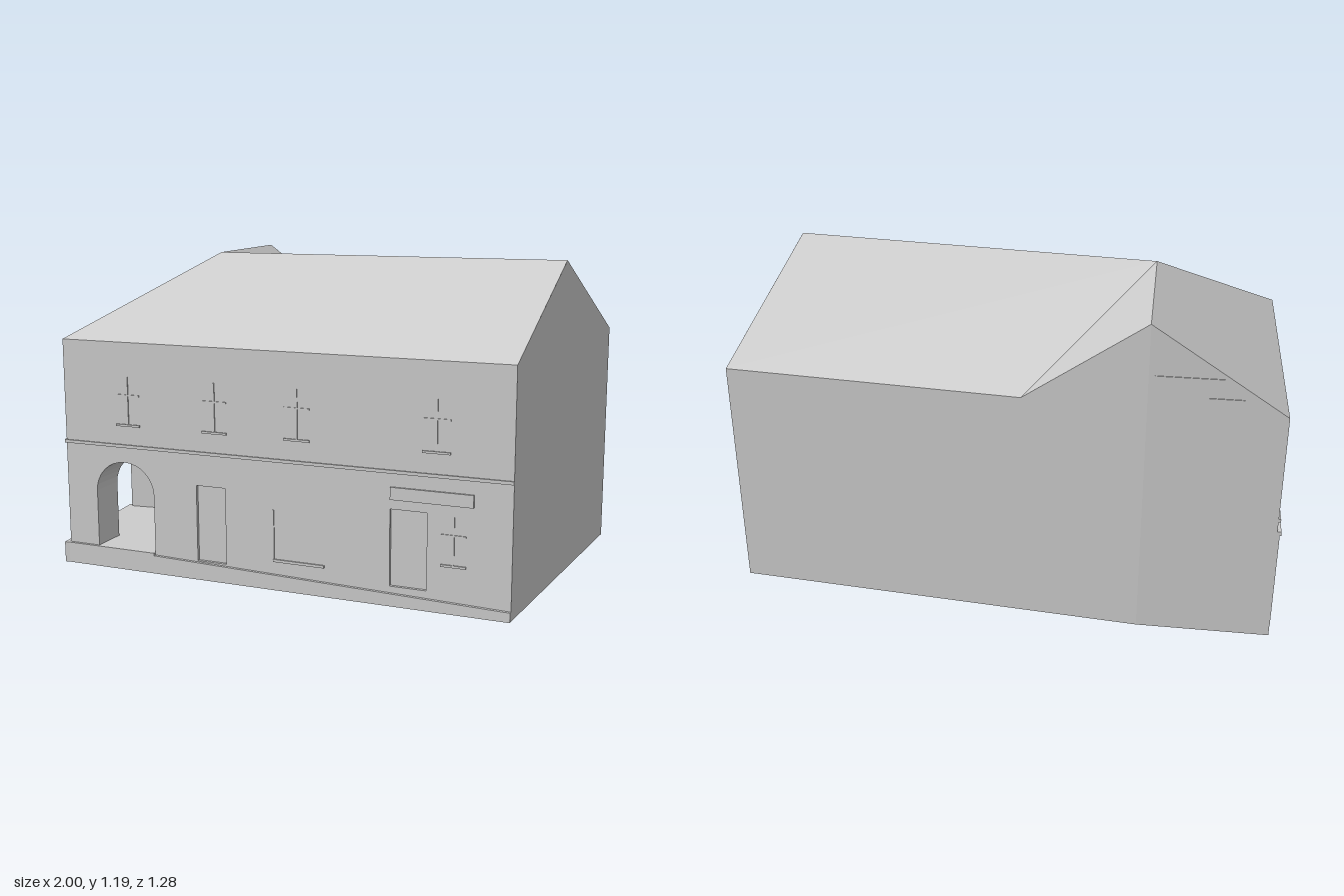
import * as THREE from 'three';

const EAVE = 0.88, RIDGE = 1.19, FLOOR = 0.08, SPRING = 0.3;

// Ground corners as [x, z]
const A = [-0.98, 0.43], B = [0.775, 0.625], C = [1, -0.51], E = [-0.51, -0.64], F = [-0.98, -0.64];

export function createModel() {
  const model = new THREE.Group();
  model.name = 'cornerHouse';
  const plaster = new THREE.MeshStandardMaterial({ color: 0xcccccc, side: THREE.DoubleSide });
  plaster.name = 'plaster';

  function add(parent, geometry, name) {
    const mesh = new THREE.Mesh(geometry, plaster);
    mesh.name = name;
    parent.add(mesh);
    return mesh;
  }
  const shapeOf = (pts) => new THREE.Shape(pts.map(([x, y]) => new THREE.Vector2(x, y)));
  const rect = (x0, y0, x1, y1) => [[x0, y0], [x1, y0], [x1, y1], [x0, y1]];
  const lengthOf = (p, q) => Math.hypot(q[0] - p[0], q[1] - p[1]);

  // Round-headed opening
  function arch(x0, x1, rise) {
    const pts = [[x0, FLOOR], [x1, FLOOR]];
    for (let i = 0; i <= 16; i++) {
      const a = (i / 16) * Math.PI;
      pts.push([(x0 + x1) / 2 + ((x1 - x0) / 2) * Math.cos(a), SPRING + rise * Math.sin(a)]);
    }
    return pts;
  }
  // Side of the house: local x runs from p to q, local z points outward
  function side(name, p, q) {
    const group = new THREE.Group();
    group.name = name;
    group.position.set(p[0], 0, p[1]);
    group.rotation.y = Math.atan2(p[1] - q[1], q[0] - p[0]);
    model.add(group);
    return group;
  }
  // Plate with holes, from local z0 to z1
  function plate(parent, name, pts, z0, z1, holes = []) {
    const shape = shapeOf(pts);
    shape.holes = holes.map(shapeOf);
    const geo = z1 > z0
      ? new THREE.ExtrudeGeometry(shape, { depth: z1 - z0, bevelEnabled: false })
      : new THREE.ShapeGeometry(shape);
    return add(parent, geo.translate(0, 0, z0), name);
  }
  // Horizontal slab from ground points
  function slab(name, pts, y0, y1) {
    const geo = new THREE.ExtrudeGeometry(shapeOf(pts.map(([x, z]) => [x, -z])), { depth: y1 - y0, bevelEnabled: false });
    add(model, geo.rotateX(-Math.PI / 2).translate(0, y0, 0), name);
  }
  // Flat polygon in space, fanned from its first corner
  function face(name, pts) {
    const geo = new THREE.BufferGeometry();
    const tri = [];
    for (let i = 1; i < pts.length - 1; i++) tri.push(...pts[0], ...pts[i], ...pts[i + 1]);
    geo.setAttribute('position', new THREE.Float32BufferAttribute(tri, 3));
    geo.computeVertexNormals();
    add(model, geo, name);
  }
  // Window bars: mullion, transom and sill
  function windowBars(parent, x, y0, y1, half = 0.05) {
    const t = 0.003, mid = y0 + (y1 - y0) * 0.62;
    plate(parent, 'mullion', rect(x - t, y0, x + t, y1), 0, 0.004);
    plate(parent, 'transom', rect(x - half, mid - t, x + half, mid + t), 0, 0.004);
    plate(parent, 'sill', rect(x - half, y0 - 0.004, x + half, y0 + 0.004), 0, 0.006);
  }

  // Front with an archway, two doors and upper windows
  const front = side('frontSide', A, B), fl = lengthOf(A, B);
  const doors = [[0.565, 0.07, 0.685, 0.36], [1.328, 0.055, 1.464, 0.35]];
  plate(front, 'frontWall', rect(0, 0, fl, EAVE), -0.14, 0,
    [arch(0.131, 0.382, 0.12), ...doors.map((d) => rect(...d))]);
  doors.forEach((d) => plate(front, 'door', rect(...d), -0.02, -0.012));
  plate(front, 'doorStep', rect(1.328, 0.055, 1.464, 0.07), -0.012, 0);
  plate(front, 'plinth', [[-0.015, 0], [fl, 0], [fl, 0.035], [0.382, 0.07], [0.382, FLOOR], [-0.015, FLOOR]], 0, 0.012);
  plate(front, 'stringCourse', rect(-0.005, 0.478, fl, 0.49), 0, 0.006);
  [0.28, 0.645, 0.975, 1.495].forEach((x) => windowBars(front, x, 0.565, 0.75));
  windowBars(front, 1.56, 0.17, 0.345, 0.045);
  plate(front, 'shopSill', rect(0.88, 0.105, 1.08, 0.115), 0, 0.006);
  plate(front, 'shopWindowEdge', rect(0.877, 0.11, 0.883, 0.3), 0, 0.004);
  plate(front, 'doorBoard', rect(1.33, 0.385, 1.63, 0.43), 0, 0.008);

  // West side with a wide archway and a shopfront
  const west = side('westSide', F, A), wl = lengthOf(F, A);
  plate(west, 'westWall', rect(0, 0, wl, EAVE), -0.13, 0, [arch(0.524, 0.93, 0.135)]);
  plate(west, 'plinth', rect(0.5, 0, wl + 0.012, FLOOR), 0, 0.02);
  plate(west, 'lowPlinth', rect(0, 0, 0.5, 0.04), 0, 0.008);
  plate(west, 'stringCourse', rect(0, 0.478, wl, 0.49), 0, 0.008);
  plate(west, 'shopFrame', rect(0, 0.04, 0.5, 0.425), 0, 0.009,
    [rect(0.03, 0.11, 0.18, 0.37), rect(0.205, 0.05, 0.295, 0.37), rect(0.32, 0.11, 0.47, 0.37)]);
  plate(west, 'shopCornice', rect(0, 0.425, 0.5, 0.44), 0, 0.014);
  [0.15, 0.37, 0.61, 0.84].forEach((x) => windowBars(west, x, 0.545, 0.74));

  // Plain east gable
  const east = side('eastSide', B, C), el = lengthOf(B, C);
  plate(east, 'eastWall', [[0, 0], [el, 0], [el, EAVE], [el * 0.454, RIDGE], [0, EAVE]], 0, 0);

  // Back walls, meeting under the wing gable
  const back = side('backSide', C, E), bl = lengthOf(C, E), valley = bl * 0.715;
  plate(back, 'backWall', [[0, 0], [bl, 0], [bl, RIDGE], [valley, EAVE], [0, EAVE]], 0, 0);
  const wing = side('wingBack', E, F), gl = lengthOf(E, F);
  plate(wing, 'wingWall', [[0, 0], [gl, 0], [gl, EAVE], [0, RIDGE]], 0, 0);
  plate(wing, 'gableLintel', rect(0.02, 1.0, 0.25, 1.008), 0, 0.003);
  plate(wing, 'gableSill', rect(0.2, 0.93, 0.32, 0.937), 0, 0.003);

  // Roof slopes
  const a = [A[0], EAVE, A[1]], b = [B[0], EAVE, B[1]], c = [C[0], EAVE, C[1]], f = [F[0], EAVE, F[1]];
  const d = [-0.08, EAVE, -0.603], p = [E[0], RIDGE, E[1]], j = [-0.51, RIDGE, -0.035], r = [0.877, RIDGE, 0.11];
  face('frontRoof', [a, b, r, j]);
  face('backRoof', [j, r, c, d]);
  face('wingEastRoof', [j, d, p]);
  face('wingWestRoof', [f, a, j, p]);

  // Base and passage floor
  slab('base', [A, B, C, E, F], 0, 0.002);
  slab('passageFloor', [A, F, [-0.6, F[1] + 0.02], [-0.6, 0.46]], 0.003, FLOOR);

  // Passage behind the arches: end wall, inner wall, half vault and ceiling
  const x0 = -0.86, x1 = -0.6, zn = -0.116, zc = 0.087, top = 0.435;
  face('passageEnd', [[x1, FLOOR, zn], [x1, FLOOR, 0.4], [x1, top, 0.4], [x1, top, zn]]);
  const profile = [[zn, FLOOR]];
  for (let i = 0; i <= 8; i++) {
    const t = (i / 8) * Math.PI / 2;
    profile.push([zc - (zc - zn) * Math.cos(t), SPRING + (top - SPRING) * Math.sin(t)]);
  }
  profile.push([0.33, top]);
  for (let i = 0; i < profile.length - 1; i++) {
    const [z, y] = profile[i], [z2, y2] = profile[i + 1];
    face(i ? 'passageVault' : 'passageWall', [[x0, y, z], [x1, y, z], [x1, y2, z2], [x0, y2, z2]]);
  }
  return model;
}
